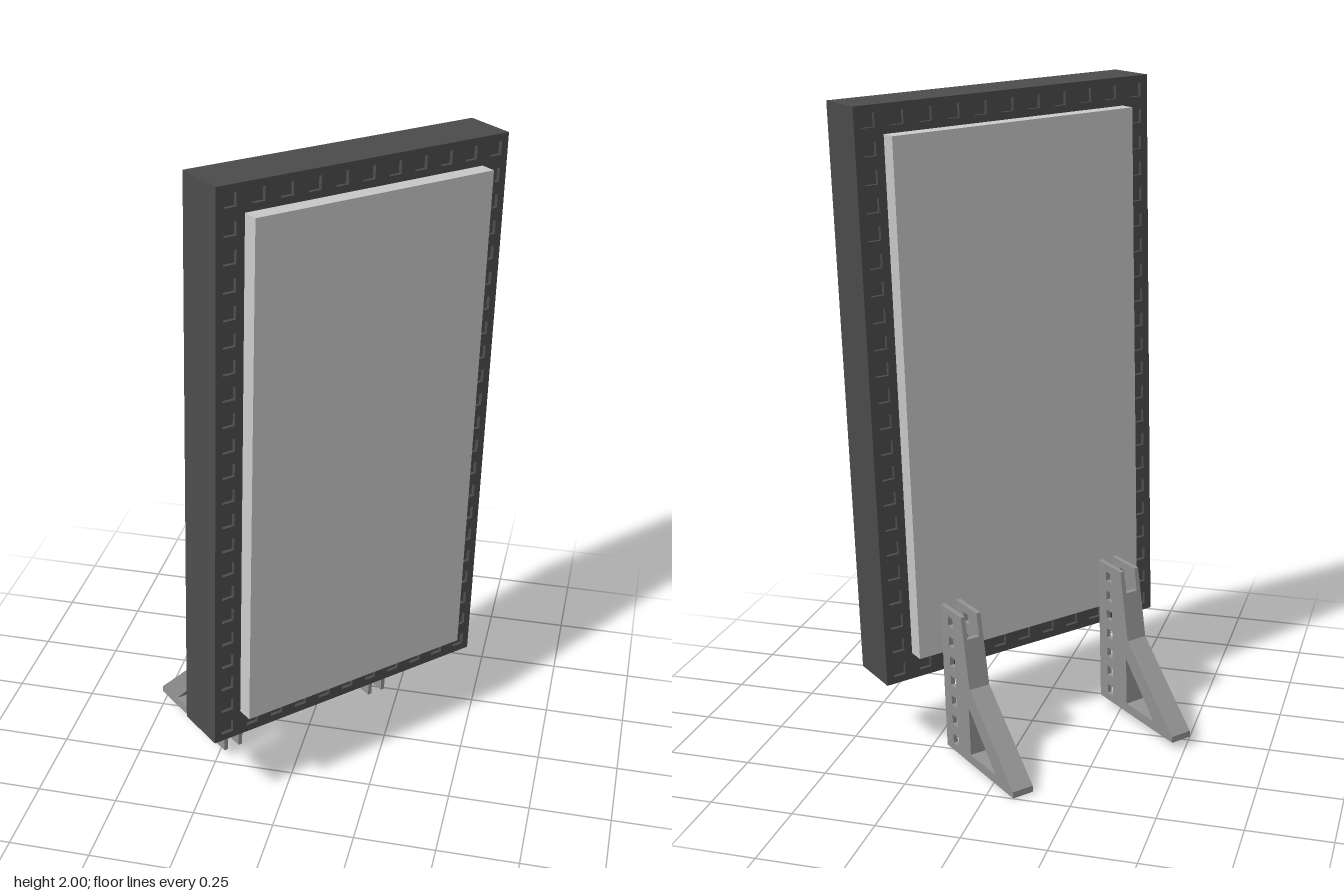
import * as THREE from 'three';

const W = 0.97, H = 1.727, T = 0.163;      // frame size
const PW = 0.793, PH = 1.56, PT = 0.262;   // panel size, front to back
const RECESS = 0.012;

const mat = (color) => new THREE.MeshStandardMaterial({ color, flatShading: true });
const frameMat = mat(0x4d4d4d), panelMat = mat(0xcccccc), legMat = mat(0x949494);

function add(parent, name, geometry, material, x = 0, y = 0, z = 0) {
  const mesh = new THREE.Mesh(geometry, material);
  mesh.name = name;
  mesh.position.set(x, y, z);
  parent.add(mesh);
  return mesh;
}

const polygon = (pts, Type = THREE.Shape) => new Type(pts.map(([x, y]) => new THREE.Vector2(x, y)));

function rect(cx, cy, w, h, Type) {
  return polygon([[cx - w / 2, cy - h / 2], [cx + w / 2, cy - h / 2],
    [cx + w / 2, cy + h / 2], [cx - w / 2, cy + h / 2]], Type);
}

const extrude = (shape, depth) => new THREE.ExtrudeGeometry(shape, { depth, bevelEnabled: false });

// Border plate with a row of square pockets on every side
function borderPlate() {
  const shape = rect(0, 0, W, H);
  shape.holes.push(rect(0, 0, PW - 0.01, PH - 0.01, THREE.Path));
  const cols = 11, rows = 22, ex = W / 2 - 0.043, ey = H / 2 - 0.042, s = 0.04;
  const pocket = (x, y) => shape.holes.push(rect(x, y, s, s, THREE.Path));
  for (let i = 0; i < cols; i++) {
    const x = -ex + (2 * ex * i) / (cols - 1);
    pocket(x, ey);
    pocket(x, -ey);
  }
  for (let i = 1; i < rows - 1; i++) {
    const y = -ey + (2 * ey * i) / (rows - 1);
    pocket(ex, y);
    pocket(-ex, y);
  }
  return extrude(shape, RECESS);
}

// Support leg: two punched side plates around a triangular brace, open channel in front
function makeLeg() {
  const leg = new THREE.Group();
  const width = 0.067, plate = 0.014;
  const window3 = () => polygon([[0.145, 0.03], [0.29, 0.03], [0.145, 0.185]], THREE.Path);

  const side = polygon([[0, 0], [0.386, 0], [0.386, 0.02], [0.155, 0.25], [0.12, 0.47], [0, 0.47]]);
  side.holes.push(window3());
  for (let i = 0; i < 7; i++) side.holes.push(rect(0.056, 0.04 + i * 0.065, 0.03, 0.03, THREE.Path));

  const brace = polygon([[0.115, 0], [0.386, 0], [0.386, 0.02], [0.155, 0.25], [0.131, 0.4], [0.115, 0.4]]);
  brace.holes.push(window3());

  const sideGeo = extrude(side, plate).rotateY(Math.PI / 2);
  add(leg, 'legSidePlate', sideGeo, legMat, -width / 2);
  add(leg, 'legSidePlate', sideGeo, legMat, width / 2 - plate);
  add(leg, 'legBrace', extrude(brace, width - 2 * plate).rotateY(Math.PI / 2), legMat, -width / 2 + plate);
  return leg;
}

export function createModel() {
  const model = new THREE.Group();
  model.name = 'billboard';
  const board = new THREE.Group();
  board.name = 'board';
  model.add(board);

  // Frame core with pocketed borders front and back
  add(board, 'frame', new THREE.BoxGeometry(W, H, T - 2 * RECESS), frameMat);
  const plateGeo = borderPlate();
  add(board, 'frontBorder', plateGeo, frameMat, 0, 0, T / 2 - RECESS);
  add(board, 'backBorder', plateGeo, frameMat, 0, 0, -T / 2);

  // Display panels stand proud of the frame on both faces
  const depth = PT / 2 - T / 2 + RECESS;
  for (const s of [1, -1]) {
    add(board, s > 0 ? 'frontPanel' : 'backPanel', new THREE.BoxGeometry(PW, PH, depth),
      panelMat, 0, 0, s * (PT / 2 - depth / 2));
  }

  // Pair of legs behind the board
  for (const s of [1, -1]) {
    const leg = makeLeg();
    leg.name = s > 0 ? 'leftLeg' : 'rightLeg';
    leg.position.set(s * 0.284, -1.091, -PT / 2);
    board.add(leg);
  }

  // Stands turned and very slightly tilted
  board.rotation.set(-0.016, 0.829, -0.043, 'YXZ');
  board.position.set(0.105, 1.115, 0.038);
  return model;
}
